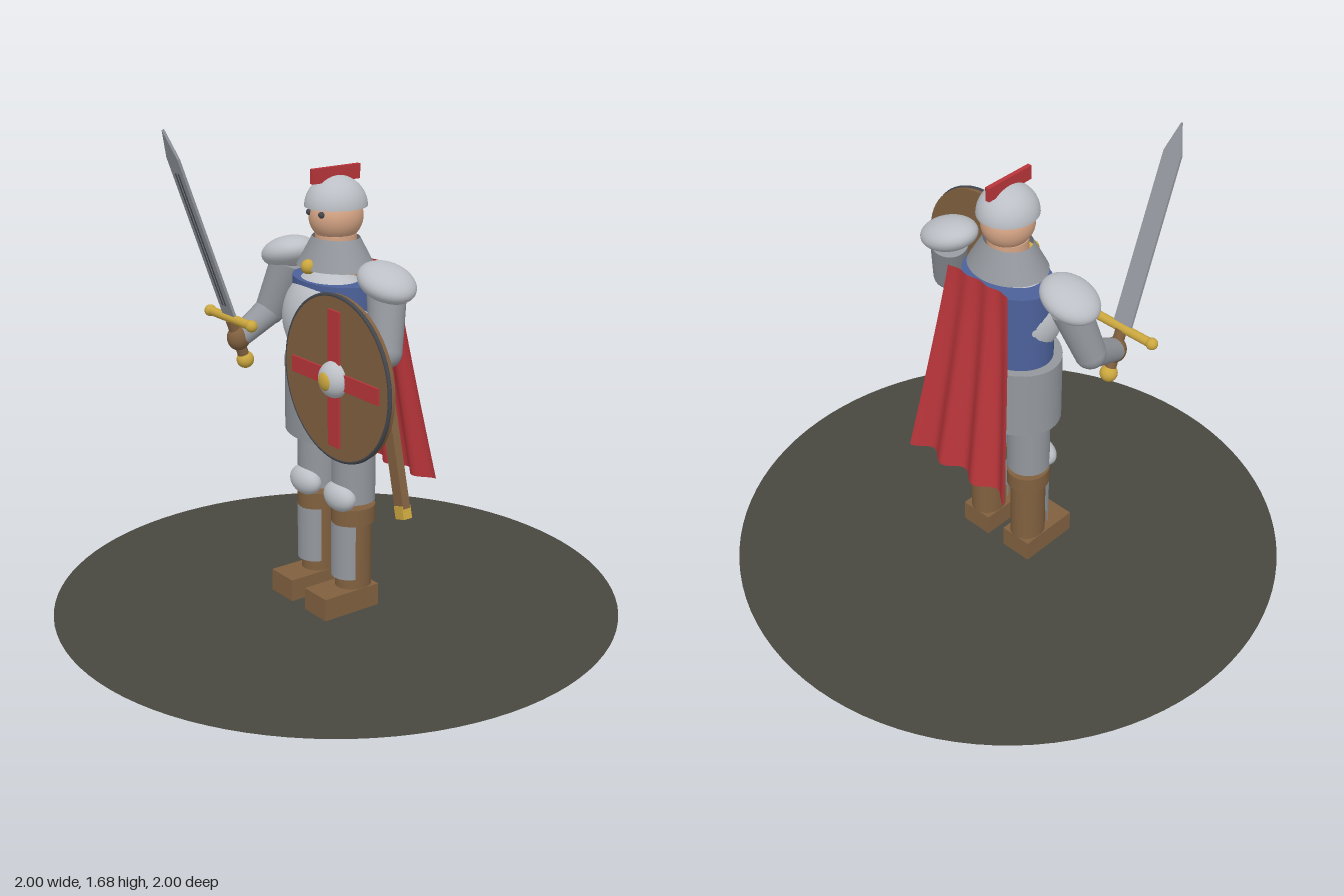
import * as THREE from 'three';

const mat = (name, color, side = THREE.FrontSide) => {
  const m = new THREE.MeshStandardMaterial({ color, side });
  m.name = name;
  return m;
};

export function createModel() {
  const D = THREE.DoubleSide;
  const ground = mat('groundGrey', 0x48483f, D);
  const bright = mat('brightSteel', 0xbcc0c6, D);
  const steel = mat('steel', 0x93979d, D);
  const blue = mat('blueCloth', 0x4c619a);
  const red = mat('redCloth', 0xb8353a, D);
  const leather = mat('leather', 0x80603f);
  const gold = mat('gold', 0xcaa63e);
  const skin = mat('skin', 0xd6a585);
  const dark = mat('darkIron', 0x44474d);

  const model = new THREE.Group();
  model.name = 'knight';
  const V = (x, y, z) => new THREE.Vector3(x, y, z);

  const add = (name, geo, material, x = 0, y = 0, z = 0, parent = model) => {
    const m = new THREE.Mesh(geo, material);
    m.name = name;
    m.position.set(x, y, z);
    parent.add(m);
    return m;
  };
  const group = (name, x = 0, y = 0, z = 0) => {
    const g = new THREE.Group();
    g.name = name;
    g.position.set(x, y, z);
    model.add(g);
    return g;
  };
  const box = (w, h, d) => new THREE.BoxGeometry(w, h, d);
  const cyl = (rt, rb, h, sz = 1) => new THREE.CylinderGeometry(rt, rb, h, 40).scale(1, 1, sz);
  const ball = (rx, ry = rx, rz = rx) => new THREE.SphereGeometry(1, 36, 24).scale(rx, ry, rz);
  // Tapered limb between two points
  const limb = (name, a, b, ra, rb, material) => {
    const d = b.clone().sub(a);
    const m = add(name, new THREE.CylinderGeometry(rb, ra, d.length(), 28), material);
    m.position.copy(a).addScaledVector(d, 0.5);
    m.quaternion.setFromUnitVectors(V(0, 1, 0), d.normalize());
  };

  // Round base
  add('base', new THREE.CircleGeometry(1, 96).rotateX(-Math.PI / 2), ground);

  // Legs and arms, mirrored
  for (const s of [-1, 1]) {
    const side = s > 0 ? 'left' : 'right';
    const x = 0.1 * s;
    add(side + 'Foot', box(0.123, 0.08, 0.23), leather, x, 0.05, 0.05);
    add(side + 'Boot', cyl(0.06, 0.06, 0.25, 1.1), leather, x, 0.21, 0);
    add(side + 'Greave', new THREE.CylinderGeometry(0.063, 0.063, 0.2, 28, 1, true, -1.3, 2.6),
      steel, x, 0.23, 0.018);
    add(side + 'BootCuff', cyl(0.074, 0.074, 0.06, 1.06), leather, x, 0.36, 0);
    add(side + 'Thigh', cyl(0.076, 0.076, 0.25), steel, x, 0.535, 0);
    add(side + 'Knee', ball(0.073, 0.053, 0.045), bright, x, 0.43, 0.058);

    const shoulder = V(0.275 * s, 1.18, 0);
    const elbow = V(0.33 * s, 1.0, 0.045);
    const hand = V((s > 0 ? 0.3 : 0.315) * s, 0.925, 0.19);
    limb(side + 'UpperArm', shoulder, elbow, 0.066, 0.054, steel);
    add(side + 'Elbow', ball(0.054), steel, ...elbow.toArray());
    limb(side + 'Forearm', elbow, hand, 0.052, 0.04, steel);
    add(side + 'Glove', ball(0.04, 0.046, 0.042), leather, ...hand.toArray());
    const pauldron = add(side + 'Pauldron', ball(0.11, 0.056, 0.092), bright, 0.275 * s, 1.215, 0);
    pauldron.rotation.z = -0.3 * s;
  }

  // Body
  add('skirtArmour', cyl(0.208, 0.208, 0.26, 0.76), steel, 0, 0.76, 0);
  add('tunic', cyl(0.175, 0.175, 0.3, 0.745), blue, 0, 1.03, 0);
  add('breastplate', ball(0.187, 0.175, 0.15), bright, 0, 1.04, 0.025);
  add('buckle', box(0.06, 0.058, 0.03), gold, 0, 0.842, 0.16);
  add('neck', cyl(0.07, 0.07, 0.16), skin, 0, 1.25, 0);
  add('gorget', new THREE.CylinderGeometry(0.09, 0.148, 0.1, 40, 1, true).scale(1, 1, 0.84),
    steel, 0, 1.27, 0);
  add('clasp', ball(0.025), gold, 0, 1.23, 0.115);

  // Head and helmet
  add('head', ball(0.089, 0.09, 0.094), skin, 0, 1.39, 0);
  for (const s of [-1, 1]) add('eye', ball(0.011), dark, 0.034 * s, 1.406, 0.085);
  add('helmet', new THREE.SphereGeometry(0.103, 40, 16, 0, Math.PI * 2, 0, Math.PI / 2)
    .scale(1, 1, 1.05), bright, 0, 1.423, 0);
  add('crest', box(0.016, 0.05, 0.196), red, 0, 1.53, 0.003);

  // Cape: widening sheet whose folds deepen toward the hem
  const cape = new THREE.PlaneGeometry(1, 1, 48, 16);
  const p = cape.attributes.position;
  for (let i = 0; i < p.count; i++) {
    const u = p.getX(i);
    const t = 0.5 - p.getY(i);
    const z = -0.14 - 0.1 * Math.pow(t, 1.15) + (0.004 + 0.018 * t) * Math.cos(u * Math.PI * 6);
    p.setXYZ(i, u * (0.27 + 0.195 * t), 1.225 - 0.765 * t, z);
  }
  cape.computeVertexNormals();
  add('cape', cape, red);

  // Sword, leaning forward in the right hand
  const sword = group('sword', -0.315, 1.0, 0.222);
  sword.rotation.x = 0.35;
  const outline = new THREE.Shape([[-0.037, 0], [0.037, 0], [0.035, 0.62], [0, 0.724], [-0.035, 0.62]]
    .map(([x, y]) => new THREE.Vector2(x, y)));
  add('blade', new THREE.ExtrudeGeometry(outline, { depth: 0.01, bevelEnabled: false }),
    steel, 0, 0, -0.005, sword);
  for (const x of [-0.009, 0.009])
    add('fullerEdge', box(0.004, 0.51, 0.004), dark, x, 0.31, 0.006, sword);
  add('guard', cyl(0.016, 0.016, 0.27).rotateZ(Math.PI / 2), gold, 0, 0, 0, sword);
  for (const x of [-0.13, 0.13]) add('guardEnd', ball(0.021), gold, x, 0, 0, sword);
  add('grip', cyl(0.02, 0.02, 0.16), leather, 0, -0.085, 0, sword);
  add('pommel', ball(0.031), gold, 0, -0.17, 0, sword);

  // Round shield with cross and boss
  const shield = group('shield', 0.348, 0.955, 0.25);
  add('shieldBoard', new THREE.CylinderGeometry(0.272, 0.272, 0.026, 64).rotateX(Math.PI / 2),
    leather, 0, 0, 0, shield);
  add('shieldRim', new THREE.TorusGeometry(0.27, 0.007, 10, 72), dark, 0, 0, 0.007, shield);
  add('crossUpright', box(0.058, 0.45, 0.009), red, 0, 0, 0.0165, shield);
  add('crossBar', box(0.452, 0.054, 0.008), red, 0, 0, 0.016, shield);
  add('boss', ball(0.06, 0.06, 0.046), bright, 0, 0, 0.017, shield);
  add('bossStud', ball(0.032, 0.032, 0.016), gold, 0, 0, 0.051, shield);

  // Scabbard slung on the left hip
  const scabbard = group('scabbard', 0.23, 0.665, -0.065);
  scabbard.rotation.z = 0.24;
  add('sheath', box(0.048, 0.51, 0.03), leather, 0, 0, 0, scabbard);
  add('chape', box(0.046, 0.046, 0.036), gold, 0, -0.268, 0, scabbard);

  return model;
}
